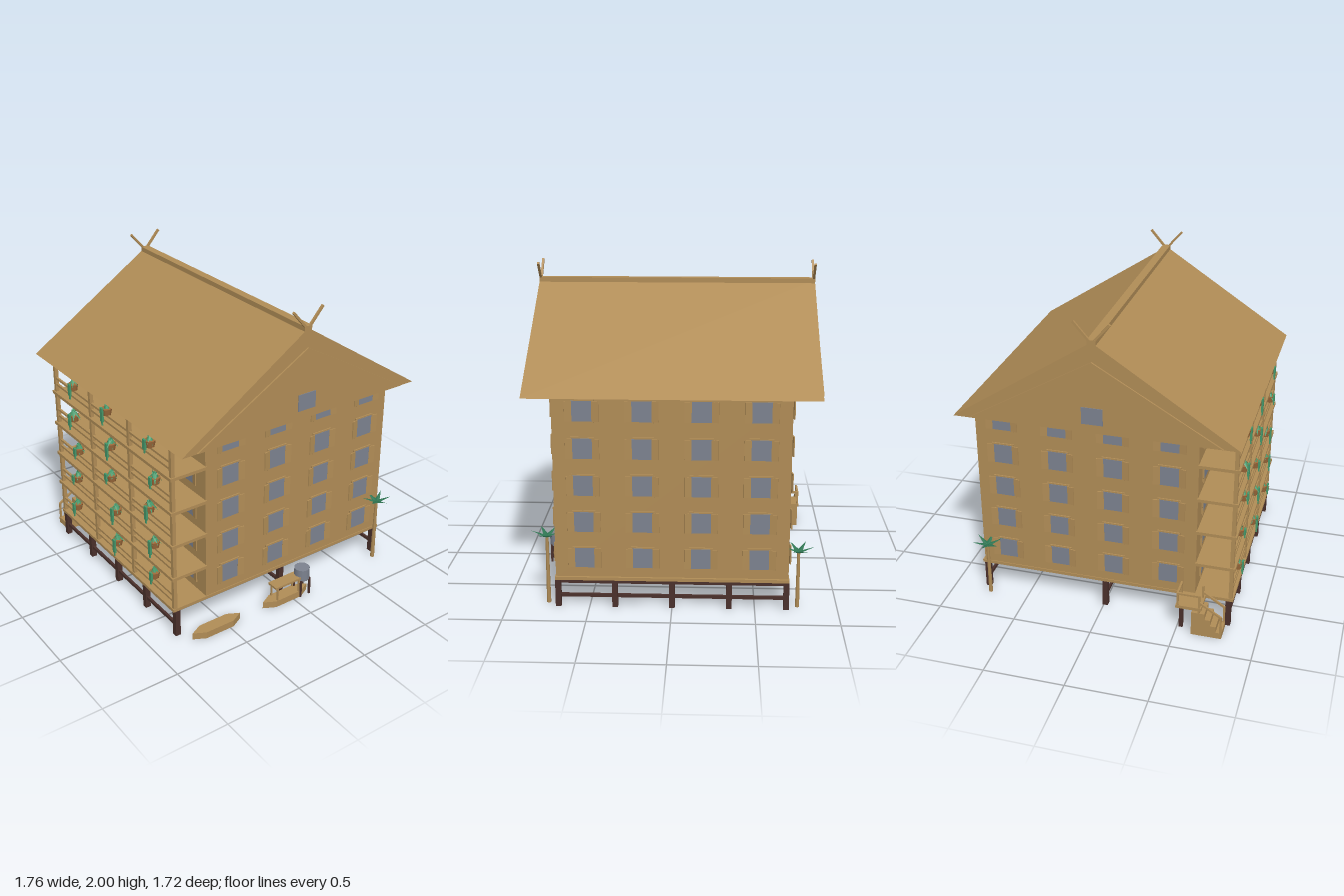
import * as THREE from 'three';

const mat = (name, color) => {
  const m = new THREE.MeshStandardMaterial({ color });
  m.name = name;
  return m;
};

export function createModel() {
  const wood = mat('tan wood', 0xb08c56);
  const dark = mat('dark timber', 0x4a302b);
  const glass = mat('grey blue', 0x7c828f);
  const leafGreen = mat('leaf green', 0x45986a);
  const palmGreen = mat('palm green', 0x2f7552);
  const clay = mat('clay', 0xa06c3c);

  const root = new THREE.Group();
  root.name = 'stiltHouse';
  const group = (name, parent = root) => {
    const g = new THREE.Group();
    g.name = name;
    parent.add(g);
    return g;
  };
  const mesh = (name, geo, material, parent = root, x = 0, y = 0, z = 0) => {
    const m = new THREE.Mesh(geo, material);
    m.name = name;
    m.position.set(x, y, z);
    parent.add(m);
    return m;
  };
  // Box given by its min and max corners
  const box = (name, material, a, b, parent = root) =>
    mesh(name, new THREE.BoxGeometry(b[0] - a[0], b[1] - a[1], b[2] - a[2]), material, parent,
      (a[0] + b[0]) / 2, (a[1] + b[1]) / 2, (a[2] + b[2]) / 2);
  // Square beam between two points
  const beam = (name, material, a, b, t, parent = root) => {
    const p = new THREE.Vector3(...a), q = new THREE.Vector3(...b);
    const m = mesh(name, new THREE.BoxGeometry(t, t, p.distanceTo(q)), material, parent);
    m.position.copy(p).add(q).multiplyScalar(0.5);
    m.lookAt(q);
    return m;
  };
  // Outline in (z, y), extruded along x and centred
  const prism = (points, length) => {
    const shape = new THREE.Shape(points.map(p => new THREE.Vector2(...p)));
    return new THREE.ExtrudeGeometry(shape, { depth: length, bevelEnabled: false })
      .translate(0, 0, -length / 2).rotateY(Math.PI / 2);
  };
  let seed = 7;
  const rnd = () => (seed = (seed * 16807) % 2147483647) / 2147483647;

  const FLOORS = 5, STEP = 0.2275, BASE = 0.2;

  // Body and floor slab
  box('walls', wood, [-0.7, 0.19, -0.8], [0.7, 1.33, 0.59]);
  box('floorSlab', wood, [-0.705, 0.18, -0.815], [0.705, 0.2, 0.83]);

  // Stilts with two rails per row
  const stilts = group('stilts');
  for (const z of [0.8, 0.01, -0.785]) {
    for (let i = -2; i <= 2; i++)
      box('stilt', dark, [i * 0.345 - 0.017, 0, z - 0.017], [i * 0.345 + 0.017, 0.18, z + 0.017], stilts);
    for (const y of [0.072, 0.162])
      box('stiltRail', dark, [-0.69, y - 0.01, z - 0.008], [0.69, y + 0.01, z + 0.008], stilts);
  }

  // Roof with gable panels, ridge cap and crossed horns
  const roof = group('roof');
  mesh('roofBody', prism([[-0.86, 1.32], [0.86, 1.32], [0, 1.882]], 1.736), wood, roof);
  mesh('gablePanels', prism([[-0.76, 1.325], [0.76, 1.325], [0, 1.765]], 1.756), wood, roof);
  box('ridgeCap', wood, [-0.868, 1.86, -0.026], [0.868, 1.895, 0.026], roof);
  for (const s of [-1, 1]) {
    box('gableWindow', glass, [s * 0.879 - 0.003, 1.38, -0.064], [s * 0.879 + 0.003, 1.485, 0.064], roof);
    for (const d of [-1, 1])
      beam('horn', wood, [s * 0.86, 1.86, -d * 0.01], [s * 0.86, 1.994, d * 0.106], 0.014, roof);
  }

  // Windows with open shutters
  const frameGeo = new THREE.BoxGeometry(0.142, 0.142, 0.016);
  const paneGeo = new THREE.BoxGeometry(0.124, 0.124, 0.006);
  const shutterGeo = new THREE.BoxGeometry(0.042, 0.122, 0.007);
  const windows = group('windows');
  const addWindow = (x, y, z, turn) => {
    const g = group('window', windows);
    g.position.set(x, y, z);
    g.rotation.y = turn;
    mesh('frame', frameGeo, wood, g);
    mesh('pane', paneGeo, glass, g, 0, 0, 0.007);
    for (const s of [-1, 1])
      mesh('shutter', shutterGeo, wood, g, s * 0.079, 0, 0.011).rotation.y = -s * 0.2;
  };
  for (let f = 0; f < FLOORS; f++) {
    const y = 0.325 + f * STEP;
    for (let c = 0; c < 4; c++) {
      const u = (c - 1.5) * 0.348;
      if (f > 0 || c !== 2) addWindow(u, y, 0.59, 0);
      addWindow(u, y, -0.8, Math.PI);
      addWindow(0.7, y, u - 0.105, Math.PI / 2);
      addWindow(-0.7, y, u - 0.105, -Math.PI / 2);
    }
  }
  box('doorFrame', wood, [0.03, 0.2, 0.585], [0.183, 0.4, 0.597]);
  box('door', glass, [0.04, 0.2, 0.594], [0.173, 0.392, 0.601]);

  // Balconies: posts, slabs and rails
  const balcony = group('balcony');
  for (const x of [-0.69, -0.23, 0.23, 0.69])
    box('balconyPost', wood, [x - 0.012, 0.2, 0.8], [x + 0.012, 1.34, 0.824], balcony);
  for (let f = 0; f < FLOORS; f++) {
    const y = BASE + f * STEP;
    if (f) box('balconySlab', wood, [-0.71, y - 0.02, 0.585], [0.71, y, 0.835], balcony);
    for (const h of [0.048, 0.092])
      box('balconyRail', wood, [-0.69, y + h - 0.007, 0.805], [0.69, y + h + 0.007, 0.819], balcony);
  }

  // Flat pointed leaf reaching along +z
  const leafGeo = new THREE.ConeGeometry(0.02, 0.1, 4).translate(0, 0.05, 0)
    .rotateX(Math.PI / 2).scale(1, 0.3, 1).toNonIndexed();
  leafGeo.computeVertexNormals();
  const addLeaf = (parent, material, y, turn, droop, size) => {
    const m = mesh('leaf', leafGeo, material, parent, 0, y, 0);
    m.rotation.set(droop, turn, 0, 'YXZ');
    m.scale.setScalar(size);
  };

  // Hanging plants, one per bay and floor
  const plantX = [[-0.5, 0.03, 0.47], [-0.47, 0.03, 0.48], [-0.43, -0.01, 0.435],
    [-0.47, 0, 0.505], [-0.455, -0.03, 0.465]];
  const potGeo = new THREE.CylinderGeometry(0.035, 0.025, 0.045, 8);
  const plants = group('hangingPlants');
  plantX.forEach((row, f) => row.forEach(x => {
    const g = group('plant', plants);
    g.position.set(x, BASE + f * STEP, 0.812);
    mesh('pot', potGeo, clay, g, 0, 0.118, 0);
    const size = 0.6 + rnd() * 0.2, start = rnd() * 6;
    for (let i = 0; i < 7; i++)
      addLeaf(g, leafGreen, 0.172, start + i * Math.PI * 2 / 7, 0.75 + rnd() * 0.4, size);
    addLeaf(g, leafGreen, 0.155, start, -1.2, 0.5);
    const len = 0.03 + rnd() * 0.06, side = (rnd() - 0.5) * 0.03;
    box('trailingVine', leafGreen, [side - 0.013, 0.14 - len, 0.028], [side + 0.013, 0.15, 0.04], g);
    box('vineTip', leafGreen, [side - 0.005, 0.115 - len, 0.03], [side + 0.005, 0.14 - len, 0.038], g);
  }));

  // Palms at the back corners
  for (const [x, z, h] of [[0.757, -0.74, 0.435], [-0.76, -0.75, 0.36]]) {
    const palm = group('palm');
    palm.position.set(x, 0, z);
    mesh('trunk', new THREE.CylinderGeometry(0.01, 0.014, h, 6), wood, palm, 0, h / 2, 0);
    for (let i = 0; i < 6; i++) addLeaf(palm, palmGreen, h - 0.005, i * Math.PI / 3 + Math.PI / 2, -0.36, 1.02);
  }

  // Stairs, landing and handrails
  const stairs = group('stairs');
  for (let i = 0; i < 4; i++)
    box('step', wood, [-0.85, i * 0.041, 0.6], [-0.725, (i + 1) * 0.041, 0.79 - i * 0.036], stairs);
  box('landing', wood, [-0.85, 0.18, 0.5], [-0.7, 0.2, 0.66], stairs);
  box('landingPost', dark, [-0.797, 0, 0.512], [-0.773, 0.18, 0.536], stairs);
  for (const x of [-0.842, -0.73]) {
    box('railPost', wood, [x - 0.006, 0.04, 0.776], [x + 0.006, 0.155, 0.788], stairs);
    box('railPost', wood, [x - 0.006, 0.16, 0.64], [x + 0.006, 0.285, 0.652], stairs);
    box('railPost', wood, [x - 0.006, 0.2, 0.506], [x + 0.006, 0.285, 0.518], stairs);
    beam('handrail', wood, [x, 0.15, 0.785], [x, 0.24, 0.646], 0.012, stairs);
  }
  beam('landingRail', wood, [-0.842, 0.284, 0.652], [-0.842, 0.284, 0.506], 0.013, stairs);
  beam('landingRail', wood, [-0.848, 0.284, 0.512], [-0.724, 0.284, 0.512], 0.013, stairs);

  // Two flat boats, the second with a canopy
  const hull = new THREE.Shape([[0, -0.177], [0.04, -0.1], [0.04, 0.1], [0, 0.177], [-0.04, 0.1], [-0.04, -0.1]]
    .map(p => new THREE.Vector2(...p)));
  const hullGeo = new THREE.ExtrudeGeometry(hull, { depth: 0.044, bevelEnabled: false }).rotateX(-Math.PI / 2);
  mesh('boat', hullGeo, wood, root, 0.79, 0, 0.575);
  const ferry = group('canopyBoat');
  ferry.position.set(0.79, 0, 0.042);
  mesh('boat', hullGeo, wood, ferry);
  box('canopy', wood, [-0.04, 0.132, -0.1], [0.04, 0.146, 0.105], ferry);
  for (const x of [-0.032, 0.032]) for (const z of [-0.085, 0.085])
    box('canopyPost', wood, [x - 0.005, 0.04, z - 0.005], [x + 0.005, 0.134, z + 0.005], ferry);

  // Water tank on four legs
  const tank = group('waterTank');
  tank.position.set(0.795, 0, -0.088);
  mesh('tank', new THREE.CylinderGeometry(0.05, 0.05, 0.08, 12), glass, tank, 0, 0.155, 0);
  for (const x of [-0.035, 0.035]) for (const z of [-0.035, 0.035])
    box('tankLeg', dark, [x - 0.006, 0, z - 0.006], [x + 0.006, 0.12, z + 0.006], tank);

  return root;
}
